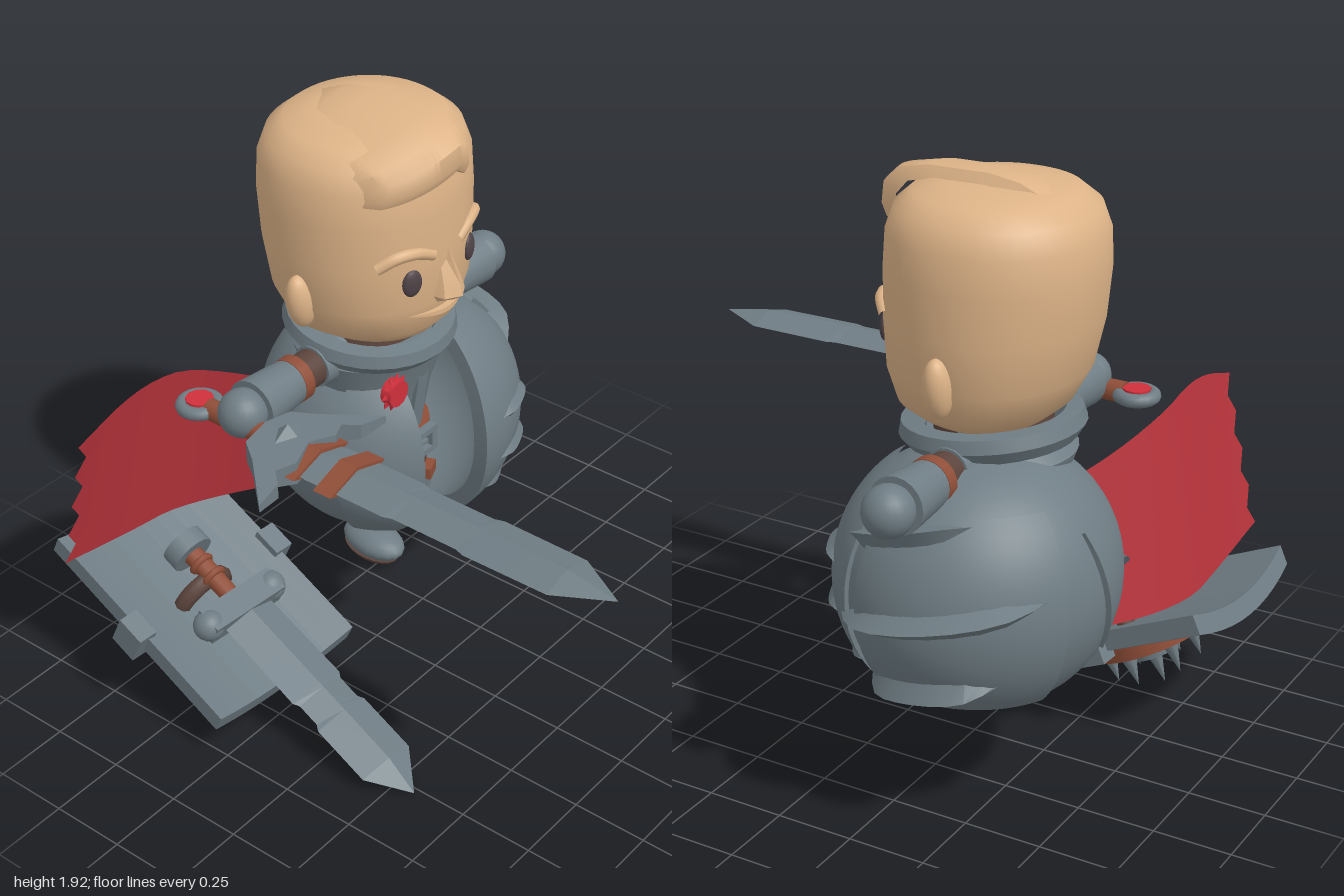
import * as THREE from 'three';
import { toCreasedNormals } from 'three/addons/utils/BufferGeometryUtils.js';

const mat = (name, color, side = THREE.FrontSide) => new THREE.MeshStandardMaterial({ name, color, side });
const steel = mat('steel', 0x6f7d84), skin = mat('skin', 0xdeb488), red = mat('red cloth', 0xb8343c, THREE.DoubleSide);
const brown = mat('leather', 0x8f4e38), dark = mat('dark leather', 0x5b443c), eyeMat = mat('eye', 0x4f4347), gemMat = mat('gem', 0xd0303c);
const CX = 0.155, CZ = -0.39;

function add(parent, name, geo, material, pos = [0, 0, 0], rot = [0, 0, 0], scale = [1, 1, 1]) {
  const m = new THREE.Mesh(geo, material);
  m.name = name;
  m.position.set(...pos); m.rotation.set(...rot); m.scale.set(...scale);
  parent.add(m);
  return m;
}
const box = (x, y, z) => new THREE.BoxGeometry(x, y, z);
const cyl = (top, bottom, h, n = 20) => new THREE.CylinderGeometry(top, bottom, h, n);

// Skin a grid of points (rows of cross-sections)
function loft(rows, crease = 0.6) {
  const n = rows[0].length, index = [];
  for (let i = 0; i < rows.length - 1; i++)
    for (let j = 0; j < n - 1; j++) {
      const a = i * n + j, c = a + n;
      index.push(a, a + 1, c, a + 1, c + 1, c);
    }
  const g = new THREE.BufferGeometry();
  g.setAttribute('position', new THREE.Float32BufferAttribute(rows.flat(2), 3));
  g.setIndex(index);
  return toCreasedNormals(g, crease);
}
const range = (n, f) => Array.from({ length: n + 1 }, (_, i) => f(i / n, i));

// Point on the round armour; theta from the top, phi from the front towards +x
function armourPoint(theta, phi, k = 1) {
  const s = Math.pow(Math.max(Math.sin(theta), 0), 0.9) * k;
  return [0.285 + 0.44 * s * Math.sin(phi), 0.745 + 0.4 * k * Math.cos(theta), -0.42 + 0.42 * s * Math.cos(phi)];
}
// Thick armour plate between two edges given as functions of theta
function armourPlate(t0, t1, from, to, outer, inner) {
  return loft(range(28, (v) => {
    const t = t1 + (t0 - t1) * v, a = from(t), b = to(t);
    const out = range(48, (u) => armourPoint(t, a + (b - a) * u, outer));
    const back = range(48, (u) => armourPoint(t, b + (a - b) * u, inner));
    return [...out, ...back, out[0]];
  }), 0.7);
}
// Pointed ridge that follows the armour from one direction to another
function armourRidge(t0, p0, t1, p1, width, height) {
  return loft(range(10, (u) => {
    const t = t0 + (t1 - t0) * u, p = p0 + (p1 - p0) * u, s = Math.min(1, Math.sin(Math.PI * u) * 1.5);
    return [armourPoint(t - width * s, p, 1), armourPoint(t, p, 1.03 + height * s), armourPoint(t + width * s, p, 1)];
  }), 0.3);
}

function makeHead() {
  const g = new THREE.Group(); g.name = 'head'; g.position.set(CX, 0, CZ);
  // y, half width, front depth, back depth
  const rings = [[1.18, .01, .03, .01], [1.185, .14, .17, .1], [1.2, .21, .24, .16], [1.25, .28, .285, .22], [1.35, .322, .31, .275],
    [1.5, .336, .318, .31], [1.65, .338, .318, .325], [1.76, .332, .312, .32], [1.83, .305, .29, .295], [1.875, .25, .24, .24], [1.895, .15, .15, .15], [1.9, .005, .005, .005]];
  const pw = (c) => Math.sign(c) * Math.pow(Math.abs(c), 0.96);
  add(g, 'face', loft(rings.map(([y, rx, f, b]) => range(48, (u) => {
    const c = pw(Math.cos(-2 * Math.PI * u)), s = pw(Math.sin(-2 * Math.PI * u));
    return [rx * c, y, s * (s > 0 ? f : b)];
  })), 1.2), skin);
  // Swept hair with a parting on its left side
  const path = [[.28, 0], [.335, .01], [.352, .05], [.345, .12], [.3, .17], [.2, .195], [0, .2], [-.1, .185], [-.2, .14], [-.28, .02]];
  add(g, 'hair', loft(range(18, (u, i) => {
    const x = -.26 + .34 * u, s = Math.pow(1 - Math.pow(Math.abs(x) / .34, 2.3), .45);
    const low = 1.725 + (u < .85 ? .055 * u : .047 - .3 * (u - .85)), top = 1.83 + .1 * Math.sin(Math.min(1, u + .1) * Math.PI / 2);
    const k = i === 0 || i === 18 ? .85 : 1;
    return path.map(([z, y]) => [x, low + (top - low) * (y / .2) * k, z * s * k]);
  }).reverse(), 0.7), skin);
  // Wedge nose: y, half width, depth
  add(g, 'nose', loft([[1.35, .005, .3], [1.345, .05, .34], [1.37, .062, .375], [1.41, .052, .365], [1.53, .016, .315], [1.54, .005, .29]]
    .map(([y, w, z]) => [[-w, y, .27], [-w * .8, y, z - .03], [0, y, z], [w * .8, y, z - .03], [w, y, .27]]), .5), skin);
  // Smile with a straight upper edge
  add(g, 'mouth', loft(range(16, (u) => {
    const x = -.14 + .28 * u, s = Math.sin(Math.PI * u), z = .268 + .032 * s;
    return [[x, 1.325 - .008 * s, z - .03], [x, 1.325 - .008 * s, z + .005 + .018 * s], [x, 1.322 - .022 * s, z + .005 + .018 * s], [x, 1.322 - .036 * s, z - .03]];
  }), .4), skin);
  for (const s of [-1, 1]) {
    add(g, 'ear', new THREE.SphereGeometry(1, 18, 14), skin, [s * .325, 1.37, .005], [0, 0, s * -.2], [.05, .096, .043]);
    add(g, 'eye', new THREE.SphereGeometry(1, 18, 12), eyeMat, [s * .14, 1.45, .29], [0, s * .35, 0], [.034, .046, .016]);
    const arc = new THREE.CatmullRomCurve3([[.06, 1.52, .305], [.13, 1.55, .295], [.19, 1.55, .27], [.235, 1.52, .23]].map((p) => new THREE.Vector3(s * p[0], p[1], p[2])));
    add(g, 'eyebrow', new THREE.TubeGeometry(arc, 14, .02, 8), skin);
  }
  return g;
}

function makeBody() {
  const g = new THREE.Group(); g.name = 'body'; g.position.set(CX, 0, CZ);
  const lathe = (pts) => toCreasedNormals(new THREE.LatheGeometry(pts.map((p) => new THREE.Vector2(...p)), 32), .5);
  add(g, 'torso', lathe([[.01, .44], [.13, .46], [.17, .6], [.17, .78], [.2, .95], [.25, 1.1], [.2, 1.15], [.01, 1.15]]), steel);
  add(g, 'breastRidge', box(.05, .26, .04), steel, [0, .94, .19], [.15, 0, 0]);
  add(g, 'collar', lathe([[.17, -.05], [.25, -.04], [.28, 0], [.27, .04], [.22, .045], [.2, .0], [.17, -.05]]), steel, [0, 1.155, .005], [.11, 0, 0]);
  add(g, 'neck', cyl(.17, .19, .12), dark, [0, 1.16, 0]);
  add(g, 'belt', cyl(.186, .186, .1, 28), dark, [0, .67, 0]);
  add(g, 'beltStrap', cyl(.193, .193, .06, 28), brown, [0, .74, 0]);
  add(g, 'tabard', box(.1, .2, .03), steel, [0, .53, .175]);
  // Belt buckle frame with prong
  const rect = (x, y) => [[-x, -y], [x, -y], [x, y], [-x, y]].map((p) => new THREE.Vector2(...p));
  const frame = new THREE.Shape(rect(.08, .047));
  frame.holes.push(new THREE.Path(rect(.054, .026)));
  add(g, 'buckle', new THREE.ExtrudeGeometry(frame, { depth: .03, bevelEnabled: false }), steel, [0, .738, .185]);
  add(g, 'buckleProng', box(.06, .014, .02), steel, [.01, .738, .2]);
  for (const s of [-1, 1]) {
    add(g, 'leg', cyl(.07, .065, .22), steel, [s * .08, .49, .07]);
    add(g, 'thighStrap', box(.065, .04, .08), brown, [s * .085, .575, .145], [0, s * .4, 0]);
    add(g, 'thighPlate', box(.05, .07, .06), steel, [s * .085, .53, .14], [0, s * .4, 0]);
    add(g, 'boot', new THREE.SphereGeometry(1, 18, 12), steel, [s * .115 - .01, .39, .11], [0, s * .15, 0], [.075, .05, .125]);
    add(g, 'sole', cyl(.065, .06, .012), dark, [s * .115 - .01, .35, .1], [0, s * .15, 0], [1, 1, 1.75]);
    // Arm stretched sideways
    const tube = (name, a, b, r0, r1, m) => add(g, name, cyl(r1, r0, b - a), m, [s * (a + b) / 2, 1.105, 0], [0, 0, -s * Math.PI / 2]);
    tube('shoulder', .17, .28, .08, .07, steel);
    tube('upperArm', .25, .37, .062, .062, dark);
    tube('armBand', .35, .39, .076, .076, brown);
    tube('forearm', .39, .56, .074, .088, steel);
    add(g, 'hand', new THREE.SphereGeometry(.078, 20, 14), steel, [s * .6, 1.105, 0]);
  }
  return g;
}

function makeArmour() {
  const g = new THREE.Group(); g.name = 'roundArmour';
  const mid = (t) => -Math.asin(Math.min((.075 + .065 * Math.sin(t) ** 2) / (.43 * Math.sin(t)), .9));
  const gap = (t) => Math.min(.115 / (.43 * Math.sin(t)), 1);
  add(g, 'shell', armourPlate(.02, 3.12, (t) => mid(t) + gap(t), (t) => mid(t) - gap(t) + 2 * Math.PI, 1, .9), steel);
  add(g, 'leftFrontPlate', armourPlate(.55, 2.65, (t) => mid(t) + gap(t), () => 1, 1.03, .95), steel);
  add(g, 'rightFrontPlate', armourPlate(.65, 2.4, () => -1.25, (t) => mid(t) - gap(t), 1.03, .95), steel);
  add(g, 'leftBackPlate', armourPlate(.75, 2.35, () => 1.15, () => 2.7, 1.04, .95), steel);
  // Side, front and back ridges: theta, phi at both ends, width, height
  for (const r of [[1.12, .85, .8, 2.05, .1, .12], [1.7, .93, 1.35, 2.6, .12, .14], [2.25, 1.0, 2.0, 2.25, .12, .13],
    [1.4, .16, 1.42, .72, .1, .05], [1.78, .14, 1.8, .74, .1, .05], [2.2, .2, 2.2, .85, .1, .05], [1.0, 3.0, 2.0, 3.2, .04, .01], [1.5, 3.7, 1.9, 4.2, .06, .03]])
    add(g, 'ridge', armourRidge(...r), steel);
  // Spiky brooch holding the cape
  add(g, 'brooch', cyl(.045, .045, .04, 12), gemMat, [.01, 1.03, -.17], [Math.PI / 2, 0, 0]);
  for (let i = 0; i < 10; i++) {
    const a = i * Math.PI / 5;
    add(g, 'broochPoint', new THREE.ConeGeometry(.016, .03, 4), gemMat, [.01 + .05 * Math.cos(a), 1.03 + .05 * Math.sin(a), -.17], [0, 0, a - Math.PI / 2]);
  }
  return g;
}

// Diamond-section bar along +z; rows of z, half width, half thickness
const blade = (rows) => loft(rows.map(([z, w, h]) => range(4, (u) => [w * Math.cos(2 * Math.PI * u), h * Math.sin(2 * Math.PI * u), z])), .1);

function makeHeldSword() {
  const g = new THREE.Group(); g.name = 'heldSword'; g.position.set(-.455, 1.07, 0);
  add(g, 'blade', blade([[-.2, .08, .03], [-.05, .1, .03], [.24, .1, .03], [.27, .09, .03], [.5, .09, .03], [.53, .1, .03], [.82, .097, .03], [.99, .001, .001]]), steel);
  for (const z of [-.105, .035]) add(g, 'bladeBand', blade([[z - .034, .001, .001], [z - .033, .126, .042], [z + .033, .126, .042], [z + .034, .001, .001]]), brown);
  const half = [[0, -.29], [.1, -.28], [.15, -.21], [.29, -.06], [.19, -.075], [.15, -.12], [.09, -.09], [0, -.12]];
  const guard = new THREE.Shape([...half, ...half.slice(1, -1).reverse().map(([x, y]) => [-x, y])].map((p) => new THREE.Vector2(...p)));
  // Guard arms thin out towards their tips
  const guardGeo = new THREE.ExtrudeGeometry(guard, { depth: .1, bevelEnabled: false }).rotateX(Math.PI / 2).translate(0, .05, 0);
  const p = guardGeo.attributes.position;
  for (let i = 0; i < p.count; i++) p.setY(i, p.getY(i) * (1 - 2.6 * Math.abs(p.getX(i))));
  guardGeo.computeVertexNormals();
  add(g, 'guard', guardGeo, steel);
  add(g, 'guardHub', new THREE.OctahedronGeometry(1), steel, [0, 0, -.2], [0, 0, 0], [.13, .08, .1]);
  add(g, 'grip', cyl(.035, .035, .28, 12), brown, [0, 0, -.38], [Math.PI / 2, 0, 0]);
  add(g, 'pommelRing', new THREE.TorusGeometry(.055, .022, 10, 20), steel, [0, 0, -.56], [Math.PI / 2, 0, 0]);
  add(g, 'pommelGem', cyl(.045, .045, .05, 10), gemMat, [0, 0, -.56]);
  return g;
}

function makeFallenSword() {
  const g = new THREE.Group(); g.name = 'fallenSword'; g.position.set(-.45, .45, -.66);
  g.lookAt(-.52, .01, .32);
  add(g, 'blade', blade([[.27, .1, .035], [.62, .105, .035], [.64, .092, .035], [.72, .092, .035], [.74, .105, .035], [.95, .105, .033], [1.08, .001, .001]]), steel);
  add(g, 'grip', cyl(.03, .035, .24, 12), brown, [0, 0, .12], [Math.PI / 2, 0, 0]);
  for (const z of [.06, .12]) add(g, 'gripRing', new THREE.TorusGeometry(.033, .012, 8, 14), brown, [0, 0, z]);
  add(g, 'guard', box(.3, .08, .09), steel, [0, 0, .25]);
  for (const s of [-1, 1]) add(g, 'guardKnob', new THREE.SphereGeometry(.052, 16, 12), steel, [s * .135, 0, .25]);
  add(g, 'pommel', cyl(.075, .075, .06, 14), steel, [0, 0, -.01], [Math.PI / 2, 0, 0]);
  return g;
}

function makeShield() {
  const g = new THREE.Group(); g.name = 'shield'; g.position.set(-.46, .295, -.61); g.rotation.set(.44, -.06, 0, 'YXZ');
  const bend = (x) => .6 * x * x;
  // Curved slab between two x positions
  const slab = (x0, x1, y, h, len) => {
    const xs = range(10, (u) => x0 + (x1 - x0) * u);
    const pts = [...xs.map((x) => new THREE.Vector2(x, bend(x) + y - h)), ...xs.reverse().map((x) => new THREE.Vector2(x, bend(x) + y))];
    return new THREE.ExtrudeGeometry(new THREE.Shape(pts), { depth: len, bevelEnabled: false }).translate(0, 0, -len / 2);
  };
  add(g, 'plate', slab(-.3, .3, .02, .04, .8), steel);
  for (const s of [-1, 1]) {
    add(g, 'endRim', slab(-.3, .3, -.015, .03, .07), steel, [0, 0, s * .365]);
    add(g, 'sideRim', slab(.23, .3, -.015, .03, .8), steel, [0, 0, 0], [0, s > 0 ? 0 : Math.PI, 0]);
    add(g, 'sideClip', box(.07, .11, .1), steel, [s * .305, .035, 0]);
    add(g, 'crossBar', slab(-.3, .3, -.015, .025, .045), steel, [0, 0, s * .13]);
  }
  add(g, 'armStrap', new THREE.TorusGeometry(.09, .03, 8, 16, Math.PI), dark, [0, .01, 0]);
  add(g, 'centreDisc', cyl(.205, .195, .05, 24), brown, [0, -.045, 0]);
  add(g, 'boss', cyl(.1, .08, .06, 16), steel, [0, -.085, 0]);
  const spike = (x, z, y, h) => add(g, 'spike', new THREE.ConeGeometry(.03, h, 8), steel, [x, y - h / 2, z], [Math.PI, 0, 0]);
  spike(0, 0, -.1, .12);
  for (let i = 0; i < 6; i++) spike(.14 * Math.cos(i * Math.PI / 3), .14 * Math.sin(i * Math.PI / 3), -.06, .11);
  return g;
}

// Wind-blown cape with a torn edge
function makeCape() {
  return loft(range(8, (v, i) => range(16, (u, j) => {
    const x = -.82 + .84 * u + (j === 0 ? (i % 2 ? .03 : -.01) : 0);
    const top = 1.05 + .075 * Math.sin(u * 4.2) - .07 * u * u, bottom = .55 - .08 * Math.sin(u * 1.8);
    const sweep = Math.pow(Math.max(0, (x + .4) / .4), 1.6) * .19;
    return [x, top + (bottom - top) * v, -.71 + sweep - .12 * v];
  })), 1);
}

export function createModel() {
  const root = new THREE.Group(); root.name = 'knight';
  root.add(makeHead(), makeBody(), makeArmour(), makeHeldSword(), makeFallenSword(), makeShield());
  add(root, 'cape', makeCape(), red);
  return root;
}
